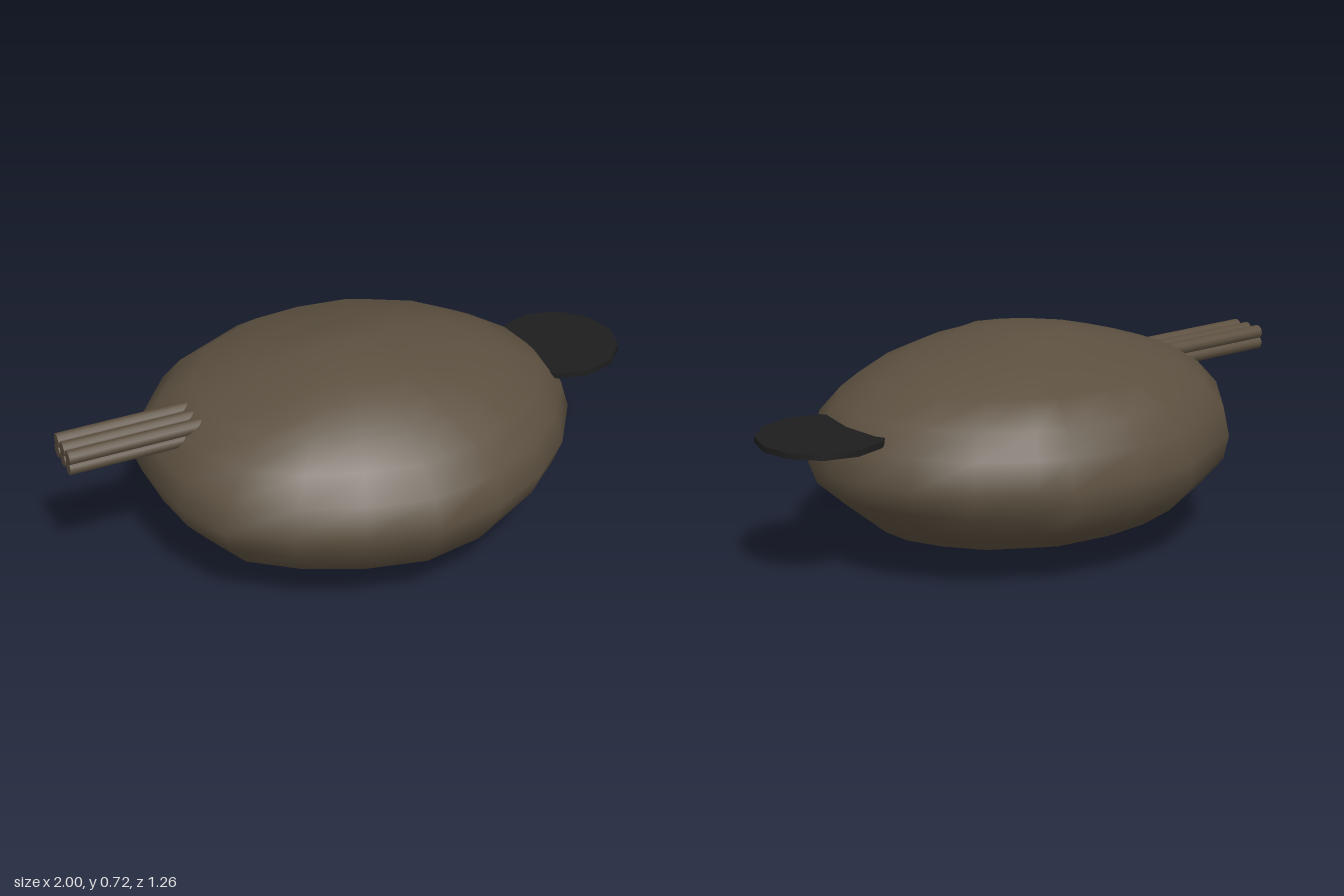
import * as THREE from 'three';

const stone = new THREE.MeshStandardMaterial({ color: 0x5c5040 });
stone.name = 'brown';
const black = new THREE.MeshStandardMaterial({ color: 0x1e1e1e });
black.name = 'black';

// Body levels: height, then reach towards +x, +z, -x, -z
const LEVELS = [
  [0.03, 0.20, 0.12, 0.24, 0.14],
  [0.06, 0.36, 0.25, 0.40, 0.28],
  [0.12, 0.55, 0.42, 0.52, 0.46],
  [0.19, 0.63, 0.55, 0.60, 0.56],
  [0.28, 0.73, 0.60, 0.68, 0.63],
  [0.36, 0.76, 0.63, 0.71, 0.63],
  [0.46, 0.73, 0.595, 0.69, 0.61],
  [0.54, 0.66, 0.51, 0.62, 0.55],
  [0.61, 0.54, 0.42, 0.52, 0.45],
  [0.66, 0.40, 0.32, 0.36, 0.26],
  [0.69, 0.20, 0.25, 0.23, 0.17],
  [0.71, 0.07, 0.14, 0.15, 0.08],
];
const MAX_REACH = [0.76, 0.63, 0.71, 0.63];

// Plan outline (x, z) of the widest level, from +x round through +z
const OUTLINE = [
  [0.76, 0], [0.74, 0.16], [0.61, 0.35], [0.45, 0.49], [0.25, 0.59], [0.01, 0.63],
  [-0.22, 0.58], [-0.43, 0.49], [-0.61, 0.36], [-0.69, 0.17], [-0.71, 0], [-0.71, -0.21],
  [-0.52, -0.46], [-0.22, -0.61], [0, -0.63], [0.25, -0.60], [0.35, -0.55], [0.53, -0.45],
  [0.66, -0.30], [0.74, -0.15],
];

// Lumpy body: the outline scaled level by level, closed by two poles
function bodyGeometry() {
  const n = OUTLINE.length;
  const positions = [0, 0, 0];
  const index = [];
  for (const [y, ...reach] of LEVELS) {
    const k = reach.map((r, i) => r / MAX_REACH[i]);
    for (const [x, z] of OUTLINE) {
      const wx = (x * x) / (x * x + z * z);
      const scale = wx * (x > 0 ? k[0] : k[2]) + (1 - wx) * (z > 0 ? k[1] : k[3]);
      positions.push(x * scale, y, z * scale);
    }
  }
  positions.push(0, 0.72, 0);
  const top = 1 + n * LEVELS.length;
  for (let i = 0; i < n; i++) {
    const j = (i + 1) % n;
    index.push(0, 1 + i, 1 + j);
    for (let l = 0; l < LEVELS.length - 1; l++) {
      const a = 1 + l * n + i, b = 1 + l * n + j;
      index.push(a, a + n, b, b, a + n, b + n);
    }
    index.push(top - n + i, top, top - n + j);
  }
  const geometry = new THREE.BufferGeometry();
  geometry.setAttribute('position', new THREE.Float32BufferAttribute(positions, 3));
  geometry.setIndex(index);
  geometry.computeVertexNormals();
  return geometry;
}

export function createModel() {
  const group = new THREE.Group();
  const add = (name, geometry, material, x, y, z) => {
    const mesh = new THREE.Mesh(geometry, material);
    mesh.name = name;
    mesh.position.set(x, y, z);
    group.add(mesh);
    return mesh;
  };

  add('body', bodyGeometry(), stone, 0, 0, 0);

  // Thin round plate at the left end
  const plate = new THREE.CylinderGeometry(0.21, 0.21, 0.02, 12);
  add('plate', plate, black, 0.79, 0.495, -0.015).rotation.y = Math.PI / 2;

  // Bundle of rods at the right end, two rows of three
  const rod = new THREE.CylinderGeometry(0.024, 0.024, 0.5, 12);
  rod.rotateZ(Math.PI / 2);
  for (const y of [0.524, 0.561])
    for (const z of [-0.075, -0.02, 0.035]) add('rod', rod, stone, -0.75, y, z);

  return group;
}
